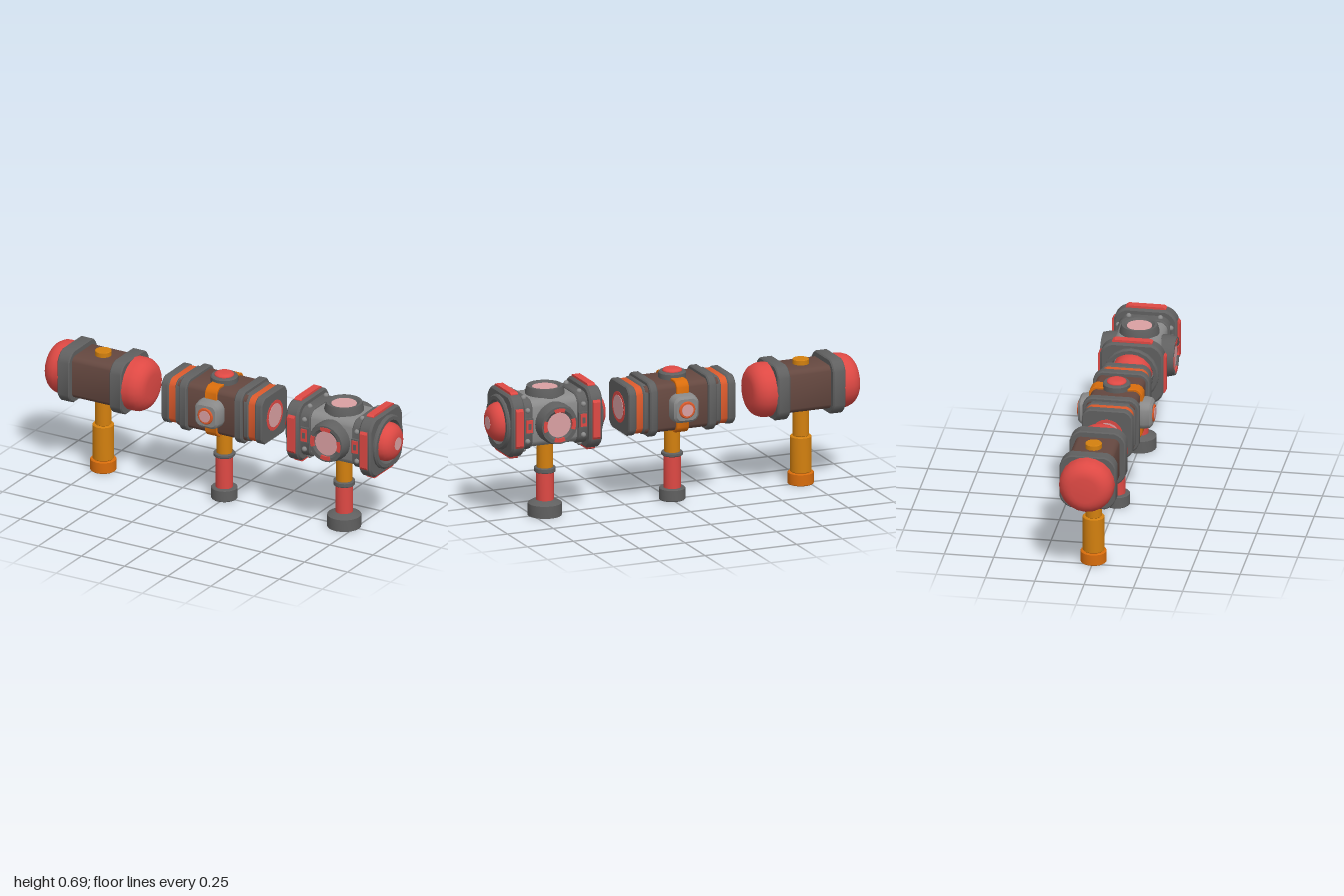
import * as THREE from 'three';
import { toCreasedNormals } from 'three/addons/utils/BufferGeometryUtils.js';

const mat = (name, color) => Object.assign(new THREE.MeshStandardMaterial({ color }), { name });
const HEAD_Y = 0.512;

export function createModel() {
  const red = mat('red', 0xde4944), grey = mat('dark grey', 0x606060), light = mat('light grey', 0x8a8a8a);
  const brown = mat('brown', 0x654840), amber = mat('amber', 0xd3800f), orange = mat('orange', 0xd96d0c);
  const stripe = mat('orange red', 0xdc5a2c), pink = mat('pink', 0xdaa0a2);

  const add = (parent, name, geo, material) => {
    const mesh = new THREE.Mesh(geo, material);
    mesh.name = name;
    parent.add(mesh);
    return mesh;
  };
  const group = (parent, name) => {
    const g = new THREE.Group();
    g.name = name;
    parent.add(g);
    return g;
  };
  // turned part around the y axis, profile of [radius, height] going outward then up
  const turn = (parent, name, profile, material, seg = 20) => add(parent, name, toCreasedNormals(
    new THREE.LatheGeometry(profile.map(p => new THREE.Vector2(...p)), seg), 0.6), material);
  const rod = (parent, name, r, y0, y1, material, c = 0) => turn(parent, name,
    [[0, y0], [r - c, y0], [r, y0 + c], [r, y1 - c], [r - c, y1], [0, y1]].filter(
      (p, i, a) => !i || p[0] !== a[i - 1][0] || p[1] !== a[i - 1][1]), material);
  // quarter ellipse from (r0, y0) curving inward to (r1, y1)
  const dome = (parent, name, base, r0, y0, r1, y1, material) => {
    const pts = [[r0, base]];
    for (let i = 0; i <= 6; i++) {
      const a = i / 6 * Math.PI / 2;
      pts.push([r1 + (r0 - r1) * Math.cos(a), y0 + (y1 - y0) * Math.sin(a)]);
    }
    pts.push([0, y1]);
    return turn(parent, name, pts, material);
  };
  // square outline with softened corners
  const square = (h, c) => {
    const s = new THREE.Shape(), k = c * 0.25;
    s.moveTo(h, -h + c);
    [[1, 1], [-1, 1], [-1, -1], [1, -1]].forEach(([x, y], i) => {
      const p = [[x * h, y * (h - c)], [x * (h - k), y * (h - k)], [x * (h - c), y * h]];
      if (i % 2) p.reverse();
      s.lineTo(...p[0]);
      s.quadraticCurveTo(...p[1], ...p[2]);
    });
    return s;
  };
  // softened square plate standing across the x axis
  const slab = (parent, name, x0, x1, h, c, material, bevel = 0.006, hole = 0) => {
    const s = square(h - bevel, c);
    if (hole) s.holes.push(new THREE.Path().absarc(0, 0, hole, 0, Math.PI * 2, true));
    const geo = new THREE.ExtrudeGeometry(s, {
      depth: x1 - x0 - 2 * bevel, bevelEnabled: bevel > 0, bevelSize: bevel,
      bevelThickness: bevel, bevelSegments: 1, curveSegments: 4 });
    geo.translate(0, 0, bevel).rotateY(Math.PI / 2).translate(x0, 0, 0);
    return add(parent, name, toCreasedNormals(geo, 0.5), material);
  };
  const slabPair = (parent, name, x0, x1, ...rest) => {
    slab(parent, name, x0, x1, ...rest);
    slab(parent, name, -x1, -x0, ...rest);
  };
  // groups whose local +y points out of the ends (+x, -x) or the four sides
  const ends = (head, build) => [-1, 1].forEach(s => {
    const g = group(head, 'end');
    g.rotation.z = s * Math.PI / 2;
    build(g);
  });
  const sides = (head, list, build) => list.forEach(k => {
    const g = group(head, 'side');
    g.rotation.x = k * Math.PI / 2;  // 0 top, 1 front, 2 bottom, 3 back
    build(g, k);
  });

  const root = new THREE.Group();
  const hammer = (name, x) => {
    const g = group(root, name);
    g.position.x = x;
    const head = group(g, 'head');
    head.position.y = HEAD_Y;
    return [g, head];
  };

  // ---- simple hammer ----
  const [a, aHead] = hammer('simpleHammer', -0.71);
  rod(a, 'pommel', 0.066, 0, 0.063, orange, 0.004);
  rod(a, 'grip', 0.055, 0.063, 0.25, amber, 0.004);
  rod(a, 'handle', 0.042, 0.25, 0.65, amber, 0.003);
  slab(aHead, 'core', -0.15, 0.15, 0.112, 0.025, brown, 0);
  slabPair(aHead, 'band', 0.116, 0.185, 0.142, 0.05, grey);
  ends(aHead, g => dome(g, 'strikingFace', 0.15, 0.139, 0.215, 0.065, 0.29, red));

  // ---- banded hammer ----
  const [b, bHead] = hammer('bandedHammer', -0.008);
  rod(b, 'pommel', 0.067, 0, 0.063, grey, 0.004);
  rod(b, 'grip', 0.044, 0.06, 0.235, red);
  rod(b, 'collar', 0.055, 0.23, 0.25, grey, 0.004);
  rod(b, 'handle', 0.04, 0.25, 0.42, amber);
  slab(bHead, 'core', -0.2, 0.2, 0.124, 0.025, brown, 0);
  slab(bHead, 'strap', -0.034, 0.034, 0.136, 0.03, orange, 0.003);
  slabPair(bHead, 'tallBand', 0.138, 0.182, 0.143, 0.04, grey);
  slabPair(bHead, 'innerPlate', 0.182, 0.213, 0.128, 0.035, grey);
  slabPair(bHead, 'stripe', 0.21, 0.252, 0.122, 0.035, stripe, 0);
  slabPair(bHead, 'endPlate', 0.249, 0.292, 0.128, 0.035, grey);
  ends(bHead, g => {
    rod(g, 'endRing', 0.08, 0.29, 0.2935, red);
    rod(g, 'endLens', 0.062, 0.29, 0.2955, pink);
  });
  sides(bHead, [1, 3], g => {
    const geo = new THREE.ExtrudeGeometry(square(0.055, 0.022), {
      depth: 0.02, bevelSize: 0.018, bevelThickness: 0.04, bevelSegments: 2, curveSegments: 4 });
    geo.rotateX(-Math.PI / 2).translate(0, 0.127, 0);
    add(g, 'boss', toCreasedNormals(geo, 0.5), light);
    rod(g, 'bossRing', 0.044, 0.18, 0.194, stripe, 0.004);
    rod(g, 'bossLens', 0.031, 0.18, 0.1965, pink);
  });
  sides(bHead, [0], g => {
    rod(g, 'topRing', 0.07, 0.11, 0.158, grey, 0.007);
    dome(g, 'topButton', 0.15, 0.05, 0.16, 0.02, 0.173, red);
  });

  // ---- armoured hammer ----
  const [c, cHead] = hammer('armouredHammer', 0.687);
  turn(c, 'pommel', [[0, 0], [0.086, 0], [0.086, 0.063], [0.056, 0.08], [0, 0.08]], grey);
  rod(c, 'grip', 0.045, 0.078, 0.228, red);
  rod(c, 'collar', 0.055, 0.225, 0.25, grey, 0.003);
  rod(c, 'handle', 0.041, 0.25, 0.42, amber);
  slab(cHead, 'core', -0.19, 0.19, 0.122, 0.03, light);
  slabPair(cHead, 'rivetBand', 0.122, 0.185, 0.132, 0.04, grey);
  slabPair(cHead, 'endPlate', 0.175, 0.247, 0.16, 0.05, grey, 0.01, 0.122);
  ends(cHead, g => {
    turn(g, 'endCollar', [[0.14, 0.235], [0.14, 0.256], [0.132, 0.264], [0.114, 0.264], [0.106, 0.22]], grey);
    dome(g, 'strikingFace', 0.19, 0.1, 0.25, 0.033, 0.312, red);
    rod(g, 'tipLens', 0.033, 0.309, 0.313, pink);
  });
  const barShape = new THREE.Shape([[-0.102, 0], [0.102, 0], [0.102, 0.018], [0.09, 0.026], [-0.09, 0.026],
    [-0.102, 0.018]].map(p => new THREE.Vector2(...p)));
  const barGeo = new THREE.ExtrudeGeometry(barShape, { depth: 0.04, bevelEnabled: false });
  barGeo.translate(0, 0, -0.02).rotateY(Math.PI / 2);
  sides(cHead, [0, 1, 2, 3], (g, k) => [-1, 1].forEach(s => {
    add(g, 'edgeBar', barGeo, red).position.set(s * 0.21, 0.146, 0);
    for (const z of [-0.08, 0.08])
      add(g, 'rivet', new THREE.SphereGeometry(0.014, 10, 6), light).position.set(s * 0.152, 0.133, z);
    if (k % 2) {
      add(g, 'buckleFrame', new THREE.BoxGeometry(0.046, 0.02, 0.08), grey).position.set(s * 0.148, 0.134, 0);
      add(g, 'buckle', new THREE.BoxGeometry(0.034, 0.02, 0.066), red).position.set(s * 0.148, 0.14, 0);
      add(g, 'buckleSlot', new THREE.BoxGeometry(0.016, 0.006, 0.03), grey).position.set(s * 0.148, 0.149, 0);
    }
  }));
  // round ports on top, front and back
  sides(cHead, [0, 1, 3], (g, k) => {
    const t = k ? 0.187 : 0.163, r = k ? 0.106 : 0.1;
    turn(g, 'portRing', [[r, 0.1], [r, t - 0.035], [r - 0.009, t], [0.078, t], [0.06, t - 0.014]], grey, 24);
    rod(g, 'portLens', 0.064, 0.1, t - 0.008, pink);
    if (!k) return;
    // four arc inlays around the lens
    for (let i = 0; i < 4; i++) {
      const mid = i * Math.PI / 2, w = 0.36, s = new THREE.Shape();
      s.absarc(0, 0, 0.088, mid - w, mid + w, false);
      s.absarc(0, 0, 0.068, mid + w, mid - w, true);
      const geo = new THREE.ExtrudeGeometry(s, { depth: 0.009, bevelEnabled: false, curveSegments: 6 });
      geo.rotateX(-Math.PI / 2).translate(0, t - 0.007, 0);
      add(g, 'portInlay', geo, red);
    }
  });

  return root;
}
